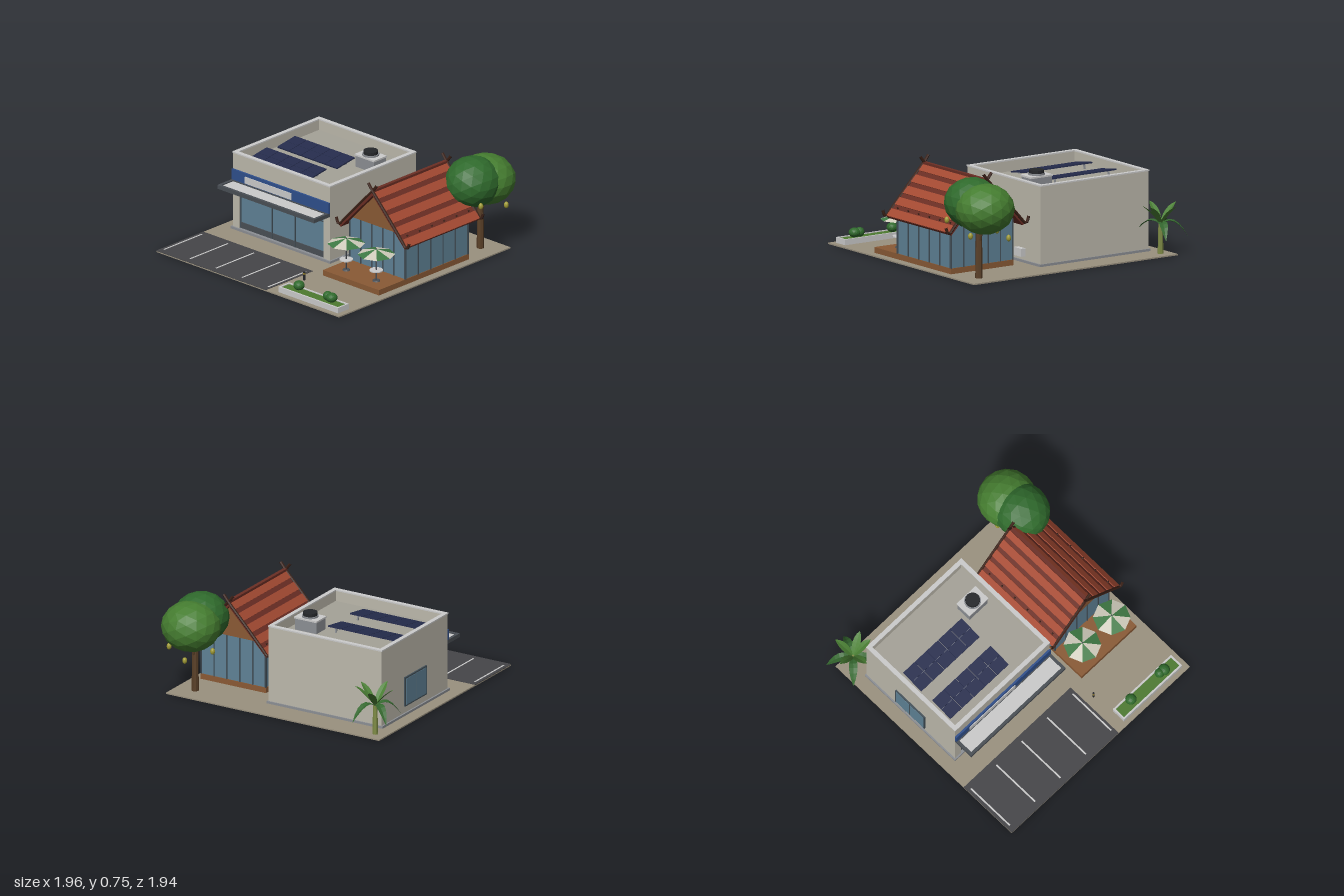
import * as THREE from 'three';

const mat = (color, extra = {}) => new THREE.MeshStandardMaterial({ color, flatShading: true, ...extra });
const M = {
  ground: mat(0x9a917f), asphalt: mat(0x454548), line: mat(0xcccccc), wall: mat(0xbdb9ac), roofDeck: mat(0xa5a298),
  grey: mat(0xcccccc), metal: mat(0x8c8f94), dark: mat(0x4a4f55), black: mat(0x25272a), glass: mat(0x5f8296),
  frame: mat(0x44515a), blue: mat(0x2f4f8c), solar: mat(0x252c4d), wood: mat(0x8a5a35), beam: mat(0x3d2218),
  tile: mat(0xa54a32), tileDark: mat(0x6b2e24), green: mat(0x3f7a45, { side: THREE.DoubleSide }),
  cream: mat(0xcfccbc, { side: THREE.DoubleSide }), grass: mat(0x4d7a30), leafDark: mat(0x2f6a2c), leaf: mat(0x457d30),
  palm: mat(0x4a7f34, { side: THREE.DoubleSide }), palmDark: mat(0x35682f, { side: THREE.DoubleSide }),
  bark: mat(0x5a4028), palmBark: mat(0x7d8a45), fruit: mat(0xa09a35), yellow: mat(0xc9a92c),
};

function add(parent, name, geometry, material, x = 0, y = 0, z = 0) {
  const mesh = new THREE.Mesh(geometry, material);
  mesh.name = name;
  mesh.position.set(x, y, z);
  parent.add(mesh);
  return mesh;
}
// box given by its extents
const box = (p, name, m, x0, x1, y0, y1, z0, z1) => add(p, name,
  new THREE.BoxGeometry(x1 - x0, y1 - y0, z1 - z0), m, (x0 + x1) / 2, (y0 + y1) / 2, (z0 + z1) / 2);
const cyl = (p, name, m, r0, r1, y0, y1, x, z, n = 12) => add(p, name,
  new THREE.CylinderGeometry(r1, r0, y1 - y0, n), m, x, (y0 + y1) / 2, z);
function blob(p, name, m, x, y, z, rx, ry, rz, turn = 0) {
  const b = add(p, name, new THREE.IcosahedronGeometry(1, 2), m, x, y, z);
  b.scale.set(rx, ry, rz);
  b.rotation.y = turn;
}
function group(parent, name) {
  const g = new THREE.Group();
  g.name = name;
  parent.add(g);
  return g;
}
// polygon in the xy plane pushed along z
function prism(p, name, m, pts, z0, z1) {
  const shape = new THREE.Shape(pts.map(([x, y]) => new THREE.Vector2(x, y)));
  return add(p, name, new THREE.ExtrudeGeometry(shape, { depth: z1 - z0, bevelEnabled: false }), m, 0, 0, z0);
}
// flat rectangular ring, lying in the xz plane
function ring(p, name, m, x0, x1, z0, z1, t, y0, y1) {
  const rect = (C, a, b, c, d) => new C([[a, c], [b, c], [b, d], [a, d]].map(([x, y]) => new THREE.Vector2(x, y)));
  const shape = rect(THREE.Shape, x0, x1, -z1, -z0);
  shape.holes.push(rect(THREE.Path, x0 + t, x1 - t, -z1 + t, -z0 - t));
  const mesh = add(p, name, new THREE.ExtrudeGeometry(shape, { depth: y1 - y0, bevelEnabled: false }), m, 0, y0, 0);
  mesh.rotation.x = -Math.PI / 2;
}

function site(root) {
  const g = group(root, 'site');
  box(g, 'ground', M.ground, -0.895, 0.93, 0.004, 0.014, -0.845, 0.97);
  box(g, 'parkingLot', M.asphalt, -0.895, 0.2, 0.012, 0.017, 0.475, 0.97);
  for (let i = 0; i < 5; i++) {
    const x = -0.865 + i * 0.26;
    box(g, 'parkingLine', M.line, x - 0.006, x + 0.006, 0.016, 0.019, 0.52, 0.92);
  }
  cyl(g, 'bollard', M.black, 0.008, 0.008, 0.014, 0.08, 0.27, 0.64);
  cyl(g, 'bollardBand', M.yellow, 0.009, 0.009, 0.06, 0.07, 0.27, 0.64);
  // planter with shrubs
  ring(g, 'planterWall', M.grey, 0.29, 0.885, 0.82, 0.935, 0.014, 0.014, 0.056);
  box(g, 'planterGrass', M.grass, 0.304, 0.871, 0.014, 0.05, 0.834, 0.921);
  for (const [x, z, r] of [[0.43, 0.865, 0.042], [0.72, 0.868, 0.036], [0.762, 0.872, 0.044]])
    blob(g, 'shrub', M.leafDark, x, 0.086, z, r, 0.036, r, x * 9);
}

function shop(root) {
  const g = group(root, 'shop');
  const x0 = -0.785, x1 = 0.182, z0 = -0.635, z1 = 0.275;
  box(g, 'plinth', M.metal, x0 - 0.012, x1 + 0.012, 0.014, 0.032, z0 - 0.008, z1 + 0.012);
  box(g, 'walls', M.wall, x0, x1, 0.014, 0.52, z0, 0.245);
  box(g, 'roofDeck', M.roofDeck, x0 + 0.02, x1 - 0.02, 0.52, 0.53, z0 + 0.02, z1 - 0.02);
  ring(g, 'parapet', M.wall, x0, x1, z0, z1, 0.026, 0.52, 0.61);
  ring(g, 'parapetCap', M.grey, x0 - 0.004, x1 + 0.004, z0 - 0.004, z1 + 0.004, 0.033, 0.608, 0.618);
  // front: piers, lintel, glazing
  box(g, 'pier', M.wall, x0, -0.725, 0.014, 0.4, 0.245, z1);
  box(g, 'pier', M.wall, 0.12, x1, 0.014, 0.4, 0.245, z1);
  box(g, 'lintel', M.wall, x0, x1, 0.377, 0.52, 0.245, z1);
  box(g, 'shopGlass', M.glass, -0.725, 0.12, 0.03, 0.377, 0.245, 0.256);
  box(g, 'kickPanel', M.dark, -0.725, 0.12, 0.032, 0.078, 0.25, 0.262);
  box(g, 'transom', M.frame, -0.725, 0.12, 0.308, 0.315, 0.25, 0.262);
  for (const x of [-0.722, -0.408, -0.18, 0.117]) box(g, 'mullion', M.frame, x - 0.004, x + 0.004, 0.032, 0.377, 0.25, 0.264);
  // sign band and canopy
  box(g, 'signBand', M.blue, x0, x1, 0.402, 0.486, z1, 0.29);
  box(g, 'signPanel', M.grey, -0.65, -0.185, 0.41, 0.462, 0.285, 0.296);
  box(g, 'canopy', M.grey, x0 + 0.02, x1 - 0.02, 0.378, 0.396, z1, 0.43);
  ring(g, 'canopyFrame', M.dark, x0, x1, z1, 0.442, 0.022, 0.375, 0.404);
  // side window and meter box
  box(g, 'windowFrame', M.frame, -0.797, -0.78, 0.085, 0.31, -0.33, -0.03);
  for (const z of [-0.32, -0.175]) box(g, 'windowPane', M.glass, -0.8, -0.785, 0.097, 0.298, z, z + 0.135);
  box(g, 'meterBox', M.grey, 0.18, 0.22, 0.06, 0.12, -0.445, -0.355);
  // rooftop cooler
  box(g, 'coolerBox', M.metal, -0.085, 0.1, 0.53, 0.625, -0.405, -0.28);
  box(g, 'coolerLid', M.grey, -0.09, 0.105, 0.617, 0.63, -0.41, -0.275);
  cyl(g, 'coolerFanRing', M.metal, 0.062, 0.062, 0.63, 0.642, 0.008, -0.342, 16);
  cyl(g, 'coolerFan', M.black, 0.054, 0.054, 0.642, 0.666, 0.008, -0.342, 16);
  // two rows of solar panels
  for (const z of [-0.225, 0.075]) {
    const row = group(g, 'solarRow');
    row.position.set(-0.428, 0.56, z);
    row.rotation.x = 0.15;
    for (let i = -2; i <= 2; i++) for (const s of [-1, 1])
      box(row, 'solarPanel', M.solar, i * 0.12 - 0.058, i * 0.12 + 0.058, -0.005, 0.005, s * 0.048 - 0.047, s * 0.048 + 0.047);
    box(row, 'panelRail', M.metal, -0.297, 0.297, -0.012, -0.003, -0.01, 0.01);
    for (const x of [-0.24, 0.24]) box(row, 'panelLeg', M.metal, x - 0.006, x + 0.006, -0.045, -0.005, -0.078, -0.066);
  }
}

function pavilion(root) {
  const g = group(root, 'pavilion');
  const cx = 0.587, w = 0.275, zf = 0.2, zb = -0.465;
  box(g, 'deck', M.wood, cx - 0.28, cx + 0.28, 0.014, 0.056, zb - 0.005, 0.482);
  const under = 0.655, eave = under - 1.045 * w;
  prism(g, 'glassBody', M.glass, [[cx - w, 0.05], [cx + w, 0.05], [cx + w, eave], [cx, under], [cx - w, eave]], zb, zf);
  for (const z of [zf - 0.005, zb - 0.008])
    prism(g, 'gable', M.wood, [[cx - 0.244, 0.4], [cx + 0.244, 0.4], [cx, under]], z, z + 0.013);
  // mullions on all four sides
  for (let i = 0; i < 6; i++) {
    const x = cx - w + i * w * 0.4, z = zb + 0.005 + i * 0.131;
    const top = i % 5 ? 0.4 : eave;
    for (const s of [zf, zb]) box(g, 'mullion', M.frame, x - 0.004, x + 0.004, 0.055, top, s - 0.007, s + 0.007);
    for (const s of [-1, 1]) box(g, 'sideMullion', M.frame, cx + s * w - 0.007, cx + s * w + 0.007, 0.055, eave, z - 0.004, z + 0.004);
  }
  // roof: each slope is a dark slab with raised tile courses
  for (const s of [-1, 1]) {
    const slope = group(g, 'roofSlope');
    slope.position.set(cx, 0.685, -0.14);
    slope.rotation.set(0, s < 0 ? Math.PI : 0, -Math.atan(1.045));
    box(slope, 'roofSlab', M.tileDark, 0, 0.488, -0.024, 0, -0.392, 0.392);
    for (let i = 0; i < 5; i++)
      box(slope, 'tileCourse', M.tile, i * 0.104 + 0.004, i * 0.104 + 0.07, -0.002, 0.006, -0.392, 0.392);
    for (let i = 0; i < 6; i++)
      box(slope, 'roofStud', M.beam, 0.4, 0.41, 0, 0.011, -0.33 + i * 0.13, -0.32 + i * 0.13);
    // bargeboards crossing at the ridge, curled up at the eaves
    for (const z of [0.25, -0.533]) {
      const pts = [[-0.04, 0.74], [0, 0.69], [0.15, 0.532], [0.3, 0.37], [0.332, 0.335], [0.352, 0.338], [0.368, 0.38]];
      const curve = new THREE.CatmullRomCurve3(pts.map(([x, y]) => new THREE.Vector3(cx + s * x, y, z + s * 0.004)));
      add(g, 'bargeboard', new THREE.TubeGeometry(curve, 28, 0.011, 6), M.beam);
    }
  }
  box(g, 'ridgeCap', M.tileDark, cx - 0.014, cx + 0.014, 0.675, 0.697, -0.532, 0.252);
  // parasol tables
  for (const x of [0.43, 0.73]) {
    const p = group(g, 'parasolTable');
    p.position.set(x, 0, 0.365);
    cyl(p, 'pole', M.dark, 0.005, 0.005, 0.055, 0.31, 0, 0, 8);
    cyl(p, 'foot', M.dark, 0.03, 0.025, 0.055, 0.064, 0, 0);
    cyl(p, 'tableTop', M.grey, 0.05, 0.05, 0.136, 0.144, 0, 0, 16);
    for (let i = 0; i < 8; i++)
      add(p, 'parasolPanel', new THREE.ConeGeometry(0.138, 0.04, 1, 1, true, i * Math.PI / 4, Math.PI / 4), i % 2 ? M.green : M.cream, 0, 0.286, 0);
  }
}

// arched leaf built from cross-sections along a curve
function leafGeometry(reach, rise, tip, width) {
  const curve = new THREE.QuadraticBezierCurve3(new THREE.Vector3(),
    new THREE.Vector3(reach * 0.5, rise, 0), new THREE.Vector3(reach, tip, 0));
  const pos = [], idx = [], n = 6;
  for (let i = 0; i <= n; i++) {
    const p = curve.getPoint(i / n), w = width * Math.pow(Math.sin(Math.PI * (0.06 + 0.94 * i / n)), 0.8);
    pos.push(p.x, p.y + w * 0.3, -w, p.x, p.y, 0, p.x, p.y + w * 0.3, w);
    if (i < n) for (const k of [0, 1]) {
      const a = i * 3 + k;
      idx.push(a, a + 1, a + 3, a + 1, a + 4, a + 3);
    }
  }
  const geo = new THREE.BufferGeometry();
  geo.setAttribute('position', new THREE.Float32BufferAttribute(pos, 3));
  geo.setIndex(idx);
  geo.computeVertexNormals();
  return geo;
}

function plants(root) {
  const tree = group(root, 'tree');
  cyl(tree, 'trunk', M.bark, 0.028, 0.021, 0, 0.45, 0.775, -0.69, 8);
  const branch = cyl(tree, 'branch', M.bark, 0.012, 0.008, 0.25, 0.45, 0.775, -0.72, 6);
  branch.rotation.x = -0.3;
  blob(tree, 'frontCrown', M.leafDark, 0.775, 0.558, -0.61, 0.205, 0.188, 0.218, 0);
  blob(tree, 'backCrown', M.leaf, 0.77, 0.535, -0.755, 0.22, 0.187, 0.218, 0);
  for (const [x, y, z] of [[0.94, 0.435, -0.52], [0.7, 0.345, -0.955], [0.62, 0.35, -0.7], [0.93, 0.36, -0.8]])
    blob(tree, 'fruit', M.fruit, x, y, z, 0.018, 0.025, 0.018);

  const palm = group(root, 'palm');
  palm.position.set(-0.805, 0, -0.755);
  cyl(palm, 'palmTrunk', M.palmBark, 0.022, 0.016, 0.01, 0.24, 0, 0, 8);
  for (let i = 0; i < 9; i++) {
    const high = i % 2 === 0;
    const leaf = add(palm, 'palmLeaf', high ? leafGeometry(0.15, 0.1, 0.15, 0.03) : leafGeometry(0.2, 0.08, -0.09, 0.032),
      high ? M.palm : M.palmDark, 0, 0.23, 0);
    leaf.rotation.y = i * Math.PI * 2 / 9 + 0.45;
  }
}

export function createModel() {
  const root = new THREE.Group();
  root.name = 'shopAndPavilion';
  site(root);
  shop(root);
  pavilion(root);
  plants(root);
  return root;
}
